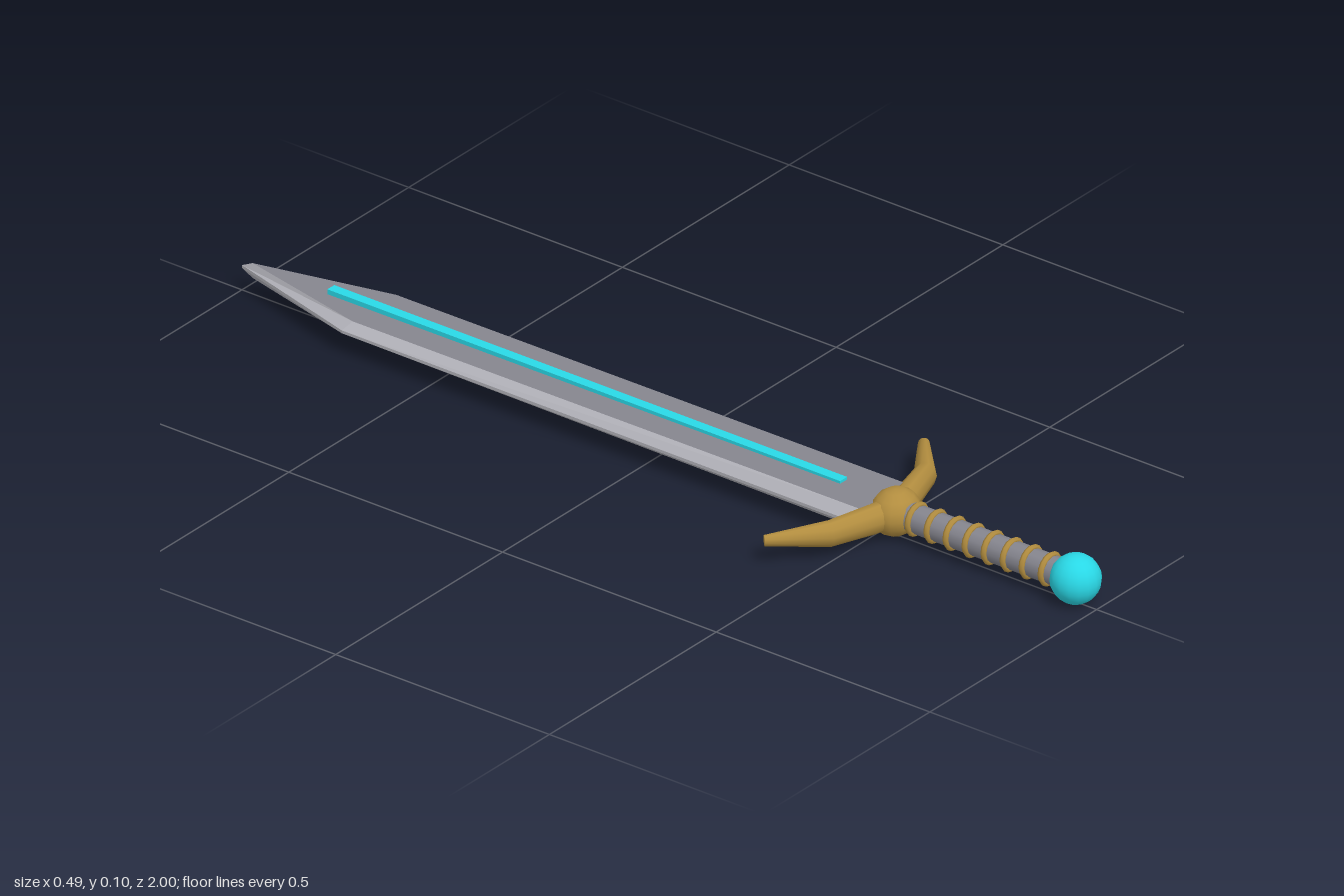
import * as THREE from 'three';

const MID = 0.049; // height of the sword's centre plane

export function createModel() {
  const group = new THREE.Group();
  const mat = (name, color) => {
    const m = new THREE.MeshStandardMaterial({ color });
    m.name = name;
    return m;
  };
  const steel = mat('steel', 0x85858e);
  const edgeSteel = mat('edgeSteel', 0xb2b2b9);
  const gold = mat('gold', 0xb28d3f);
  const teal = mat('teal', 0x29d8e6);

  const add = (name, geometry, material, z = 0) => {
    const mesh = new THREE.Mesh(geometry, material);
    mesh.name = name;
    mesh.position.set(0, MID, z);
    group.add(mesh);
    return mesh;
  };

  // Builds an outward-facing surface between successive closed loops of points
  const loft = (loops, capped) => {
    const n = loops[0].length;
    const index = [];
    for (let i = 0; i < loops.length - 1; i++) {
      for (let j = 0; j < n; j++) {
        const k = (j + 1) % n;
        const a = i * n + j, b = i * n + k, c = a + n, d = b + n;
        index.push(a, c, b, b, c, d);
      }
    }
    if (capped) {
      const last = (loops.length - 1) * n;
      for (let j = 1; j < n - 1; j++) index.push(last, last + j + 1, last + j);
    }
    const g = new THREE.BufferGeometry();
    g.setAttribute('position', new THREE.Float32BufferAttribute(loops.flat(2), 3));
    g.setIndex(index);
    return g;
  };

  // Blade core: flat faces that thin slightly towards the tip
  const outline = (w, shoulder, tip) => [[w, 0.5], [w, shoulder], [0, tip], [-w, shoulder], [-w, 0.5]];
  const inner = outline(0.065, -0.69, -0.975);
  const outer = outline(0.085, -0.7, -1);
  const halfThickness = (z) => 0.0155 + 0.004 * (z + 1);
  const shape = new THREE.Shape(inner.map(([x, z]) => new THREE.Vector2(x, -z)));
  const core = new THREE.ExtrudeGeometry(shape, { depth: 2, bevelEnabled: false });
  core.translate(0, 0, -1).rotateX(-Math.PI / 2);
  const p = core.attributes.position;
  for (let i = 0; i < p.count; i++) p.setY(i, p.getY(i) * halfThickness(p.getZ(i)));
  core.computeVertexNormals();
  add('bladeCore', core, steel);

  // Bevels running down to a thin cutting edge
  const innerLoop = (s) => inner.map(([x, z]) => [x, s * halfThickness(z), z]);
  const outerLoop = (s) => outer.map(([x, z]) => [x, s * 0.003, z]);
  const edge = loft([innerLoop(1), outerLoop(1), outerLoop(-1), innerLoop(-1)]).toNonIndexed();
  edge.computeVertexNormals();
  add('bladeEdge', edge, edgeSteel);

  // Glowing strip showing on both faces of the blade
  add('bladeStrip', new THREE.BoxGeometry(0.021, 0.053, 1.2), teal, -0.192);

  // Guard: central hub and two tapering arms swept towards the blade
  add('guardHub', new THREE.SphereGeometry(0.047, 12, 8), gold, 0.53).scale.x = 1.12;
  // x, z, half width, half height, slope of the section
  const stations = [
    [0, 0.528, 0.025, 0.03, 0.2],
    [0.05, 0.516, 0.025, 0.03, 0.3],
    [0.143, 0.487, 0.022, 0.026, 0.5],
    [0.239, 0.409, 0.011, 0.011, 0.75],
  ];
  for (const side of [1, -1]) {
    const loops = stations.map(([x, z, w, h, slope]) =>
      Array.from({ length: 10 }, (_, i) => {
        const a = side * (i / 10) * Math.PI * 2;
        const u = Math.cos(a) * w;
        return [side * (x + u * Math.sin(slope)), Math.sin(a) * h, z + u * Math.cos(slope)];
      }));
    const arm = loft(loops, true);
    arm.computeVertexNormals();
    add(side > 0 ? 'guardArmLeft' : 'guardArmRight', arm, gold);
  }

  // Grip with eight evenly spaced rings
  const grip = new THREE.CylinderGeometry(0.028, 0.028, 0.38, 12).rotateX(Math.PI / 2);
  add('grip', grip, steel, 0.74);
  const ring = new THREE.TorusGeometry(0.028, 0.0065, 6, 16);
  for (let i = 0; i < 8; i++) add('gripRing', ring, gold, 0.58 + i * 0.0445);

  // Pommel
  add('pommel', new THREE.SphereGeometry(0.049, 16, 12), teal, 0.951);

  return group;
}
